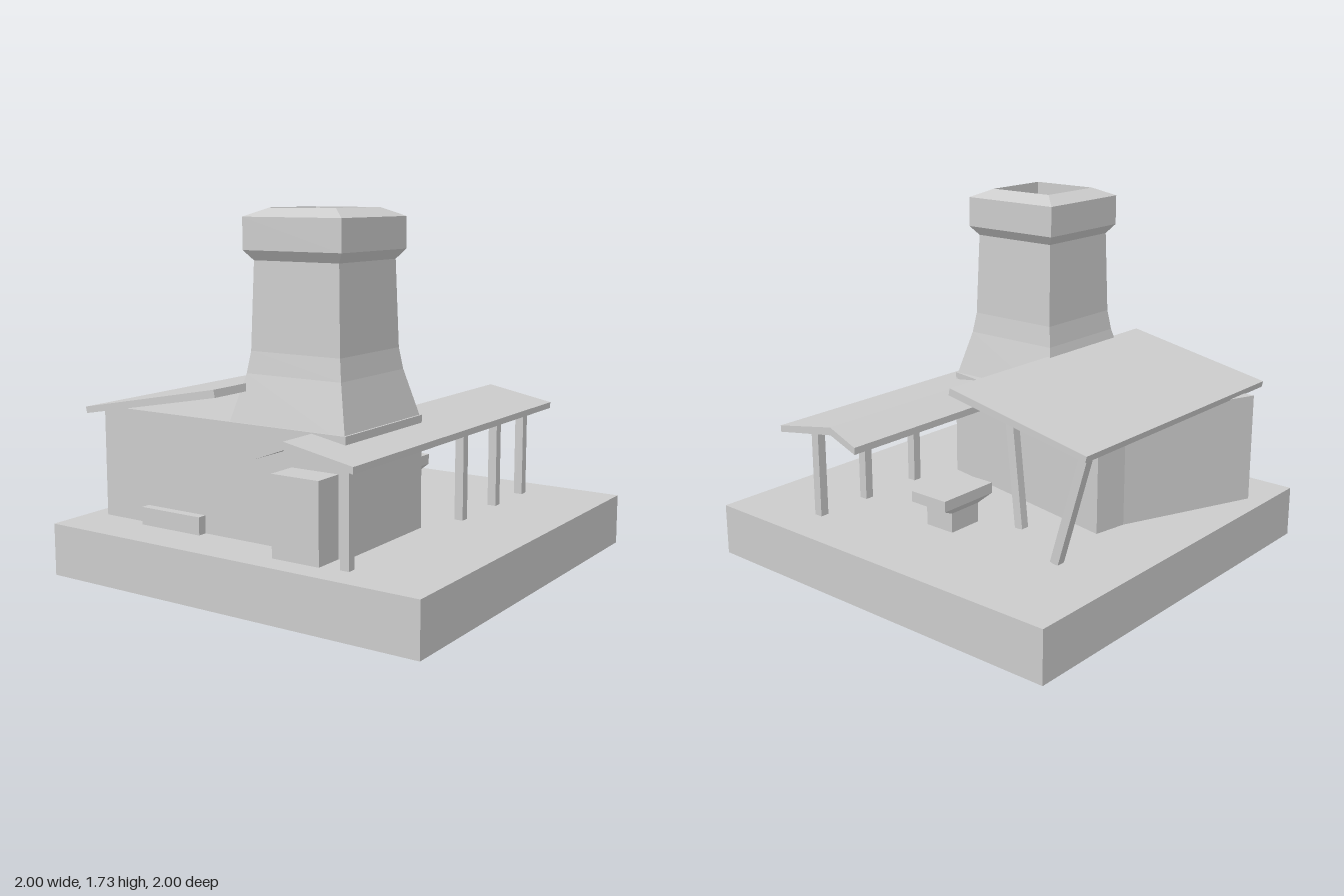
import * as THREE from 'three';

export function createModel() {
  const group = new THREE.Group();
  const material = new THREE.MeshStandardMaterial({ color: 0xcccccc, flatShading: true });

  const add = (name, geometry) => {
    const mesh = new THREE.Mesh(geometry, material);
    mesh.name = name;
    group.add(mesh);
    return mesh;
  };

  // Box given by its extents along each axis
  const box = (name, [x0, x1], [y0, y1], [z0, z1]) =>
    add(name, new THREE.BoxGeometry(x1 - x0, y1 - y0, z1 - z0))
      .position.set((x0 + x1) / 2, (y0 + y1) / 2, (z0 + z1) / 2);

  const extrude = (points, depth) => new THREE.ExtrudeGeometry(
    new THREE.Shape(points.map(([x, y]) => new THREE.Vector2(x, y))),
    { depth, bevelEnabled: false });

  // Square loft from a profile of [half width, height]
  const squareLoft = (profile) => new THREE.LatheGeometry(
    profile.map(([h, y]) => new THREE.Vector2(h * Math.SQRT2, y)), 4, Math.PI / 4);

  // Square post between two points
  const post = (name, from, to, width = 0.044) => {
    const a = new THREE.Vector3(...from);
    const b = new THREE.Vector3(...to);
    const dir = b.clone().sub(a);
    const mesh = add(name, new THREE.BoxGeometry(width, dir.length(), width));
    mesh.position.copy(a).add(b).multiplyScalar(0.5);
    mesh.quaternion.setFromUnitVectors(new THREE.Vector3(0, 1, 0), dir.normalize());
  };

  box('ground', [-1, 1], [0, 0.25], [-1, 1]);

  // House walls with an angled back and side, footprint as [x, -z]
  const walls = extrude(
    [[-0.91, -0.735], [0.475, -0.735], [0.475, -0.105], [-0.6, 0.11], [-0.63, -0.06]], 0.535);
  walls.rotateX(-Math.PI / 2).translate(0, 0.25, 0);
  add('walls', walls);

  // Flared chimney with collar, bevelled rim and sunken flue
  const chimney = squareLoft([
    [0, 0.75], [0.317, 0.75], [0.253, 1.0], [0.238, 1.1], [0.226, 1.5],
    [0.261, 1.545], [0.261, 1.69], [0.174, 1.73], [0.174, 1.6], [0, 1.6],
  ]);
  add('chimney', chimney).position.set(0.157, 0, 0.418);

  // Sloping slab roof over the house
  const leanTo = extrude(
    [[-0.855, 0.78], [-0.085, 0.922], [-0.092, 0.957], [-0.862, 0.81]], 1.455);
  add('houseRoof', leanTo).position.z = -0.548;

  // Bent slab roof over the side porch
  const porch = extrude(
    [[0.147, 0.685], [0.302, 0.743], [0.648, 0.685], [0.65, 0.716], [0.302, 0.78], [0.147, 0.718]],
    1.855);
  add('porchRoof', porch).position.z = -0.915;

  for (const z of [0.84, -0.135, -0.475, -0.77]) {
    post('porchPost', [0.555, 0.25, z], [0.555, 0.705, z]);
  }

  // Leaning posts under the back of the house roof
  post('leaningPost', [-0.285, 0.25, -0.275], [-0.205, 0.903, -0.267]);
  post('leaningPost', [-0.655, 0.25, -0.477], [-0.81, 0.79, -0.477]);

  // Front entry and low step
  box('doorway', [0.195, 0.44], [0.25, 0.62], [0.7, 0.882]);
  box('frontStep', [-0.643, -0.296], [0.25, 0.335], [0.7, 0.78]);

  // Yard table: slab top, tapered underside and stem
  const table = squareLoft([
    [0, 0.25], [0.55, 0.25], [0.55, 0.345], [1, 0.38], [1, 0.432], [0, 0.432],
  ]);
  const p = table.attributes.position;
  for (let i = 0; i < p.count; i++) {
    const stem = Math.abs(p.getX(i)) < 0.9;
    p.setX(i, p.getX(i) * (stem ? 0.145 : 0.105));
    p.setZ(i, p.getZ(i) * 0.1625);
  }
  add('table', table).position.set(0, 0, -0.442);

  return group;
}
